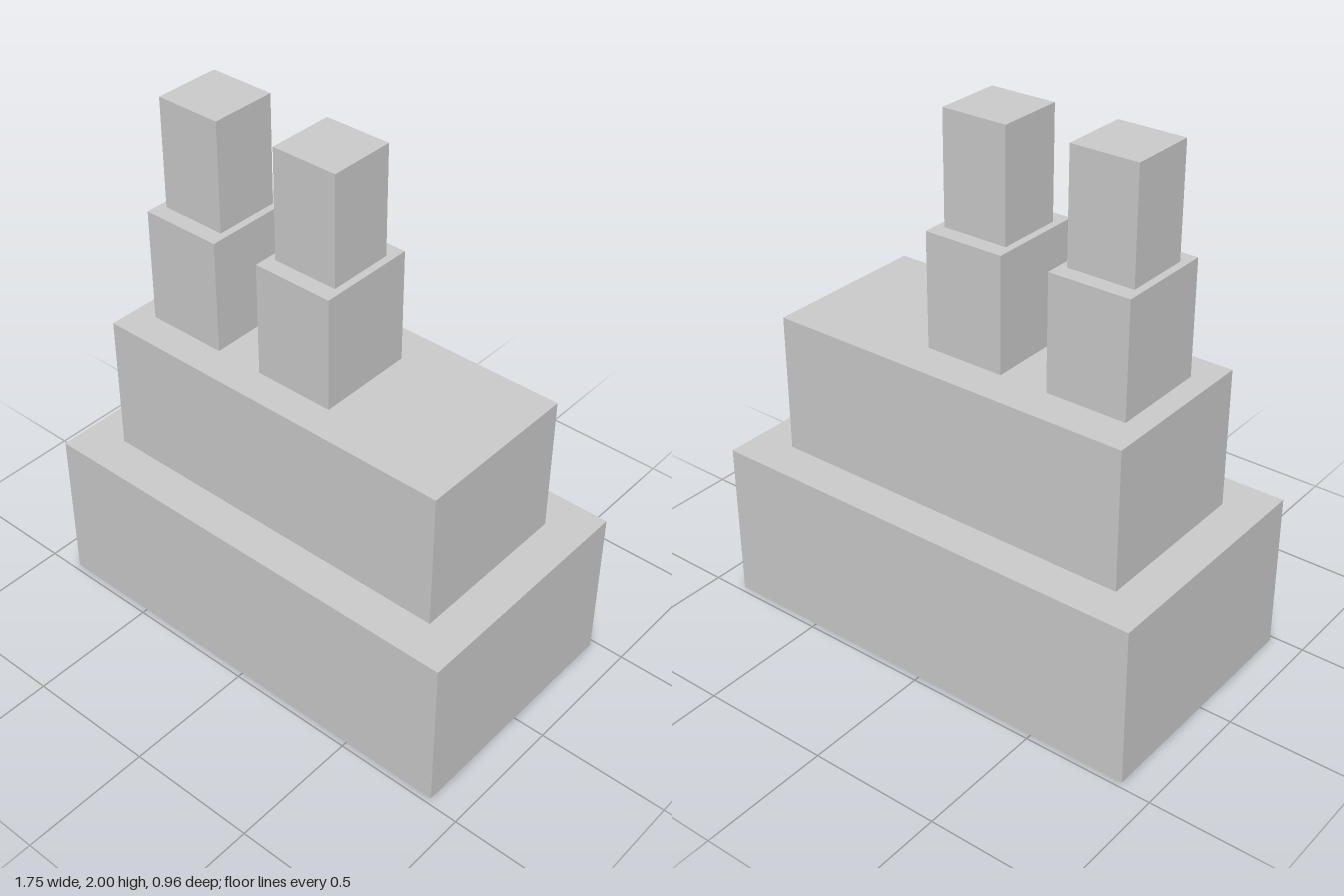
import * as THREE from 'three';

const material = new THREE.MeshStandardMaterial({ color: 0xcccccc, flatShading: true });

// Box given by its width, depth and the heights of its bottom and top
function block(name, width, depth, bottom, top) {
  const mesh = new THREE.Mesh(new THREE.BoxGeometry(width, top - bottom, depth), material);
  mesh.name = name;
  mesh.position.y = (bottom + top) / 2;
  return mesh;
}

// Two stacked blocks forming one funnel
function funnel(name, x) {
  const group = new THREE.Group();
  group.name = name;
  group.add(
    block('funnelBase', 0.312, 0.38, 1.148, 1.583),
    block('funnelTop', 0.256, 0.256, 1.583, 2)
  );
  group.position.set(x, 0, 0.01);
  return group;
}

export function createModel() {
  const model = new THREE.Group();
  model.name = 'steppedShip';

  // Hull and the deck house on it
  model.add(block('hull', 1.754, 0.956, 0, 0.614));
  model.add(block('deckHouse', 1.445, 0.65, 0.614, 1.148));

  // Pair of funnels, set toward one end
  model.add(funnel('rightFunnel', -0.482), funnel('middleFunnel', 0.019));

  return model;
}
